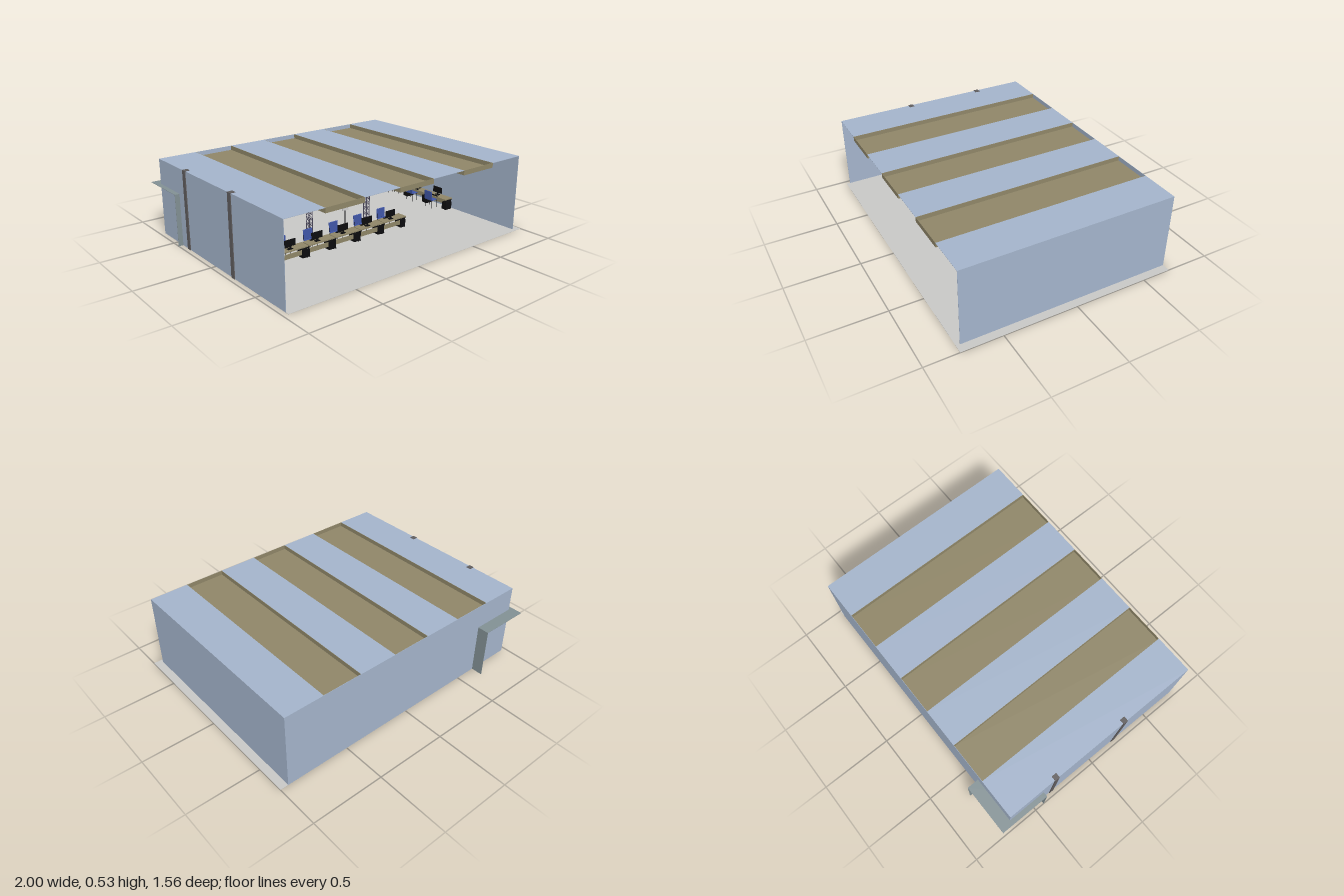
import * as THREE from 'three';
import { RoundedBoxGeometry } from 'three/addons/geometries/RoundedBoxGeometry.js';

const mat = (name, color, side = THREE.FrontSide) => {
  const m = new THREE.MeshStandardMaterial({ color, side });
  m.name = name;
  return m;
};

export function createModel() {
  const M = {
    wall: mat('wallBlue', 0xa4b4cb),
    floor: mat('floorGrey', 0xc8c8c6),
    wood: mat('woodTan', 0x8f8668),
    lobby: mat('lobbyGreyGreen', 0x829094),
    dark: mat('columnGrey', 0x605d5e),
    black: mat('black', 0x0c0c0e),
    blue: mat('chairBlue', 0x3f55a6),
    green: mat('screenGreen', 0x20d428, THREE.DoubleSide),
    truss: mat('trussGrey', 0x4f4c60),
    white: mat('lampGrey', 0xd0d0d0),
  };
  const model = new THREE.Group();
  const group = (name, parent = model) => {
    const g = new THREE.Group();
    g.name = name;
    parent.add(g);
    return g;
  };
  const add = (parent, name, geometry, material) => {
    const mesh = new THREE.Mesh(geometry, material);
    mesh.name = name;
    parent.add(mesh);
    return mesh;
  };
  // Box given by its limits
  const box = (parent, name, material, x0, x1, y0, y1, z0, z1) => {
    const mesh = add(parent, name, new THREE.BoxGeometry(x1 - x0, y1 - y0, z1 - z0), material);
    mesh.position.set((x0 + x1) / 2, (y0 + y1) / 2, (z0 + z1) / 2);
    return mesh;
  };
  // Thin rod between two points
  const rod = (parent, name, material, a, b, r) => {
    const dir = b.clone().sub(a);
    const mesh = add(parent, name, new THREE.CylinderGeometry(r, r, dir.length(), 6), material);
    mesh.position.copy(a).add(b).multiplyScalar(0.5);
    mesh.quaternion.setFromUnitVectors(new THREE.Vector3(0, 1, 0), dir.normalize());
  };
  const V = (x, y, z) => new THREE.Vector3(x, y, z);

  // Shell: floor and three walls, open at the front
  const T = 0.002, L = -0.967, R = 0.945, B = -0.7, F = 0.75, H = 0.53;
  const room = group('room');
  box(room, 'floor', M.floor, L, 1, 0.0005, T, B, 0.775);
  box(room, 'leftWall', M.wall, L, L + T, 0, H, B, F);
  box(room, 'rightWall', M.wall, R - T, R, 0, H, B, F);
  box(room, 'backWall', M.wall, L, R, 0, H, B, B + T);

  // Roof strips with sunken wooden troughs between them
  const troughs = [[-0.698, -0.42], [-0.149, 0.127], [0.398, 0.674]];
  let edge = L;
  for (const [x0, x1] of troughs) {
    box(room, 'roofStrip', M.wall, edge, x0, H - T, H, B, F);
    box(room, 'troughBase', M.wood, x0, x1, 0.498, 0.5, B + T, F);
    box(room, 'troughSide', M.wood, x0, x0 + T, 0.5, H, B + T, F);
    box(room, 'troughSide', M.wood, x1 - T, x1, 0.5, H, B + T, F);
    box(room, 'troughFront', M.wood, x0, x1, 0.498, H, F - T, F);
    edge = x1;
  }
  box(room, 'roofStrip', M.wall, edge, R, H - T, H, B, F);

  // Columns on the left wall
  for (const z of [-0.34, 0.212])
    box(room, 'column', M.dark, -0.972, -0.937, 0, 0.533, z - 0.0175, z + 0.0175);

  // Corner lobby passing through the walls
  const lobby = group('lobby');
  box(lobby, 'lobbyRoof', M.lobby, -1, -0.65, 0.353, 0.355, -0.78, -0.43);
  box(lobby, 'lobbySide', M.lobby, -0.652, -0.65, 0, 0.355, -0.78, -0.43);
  box(lobby, 'lobbyFront', M.lobby, -1, -0.65, 0, 0.355, -0.432, -0.43);
  box(lobby, 'door', M.dark, -0.9, -0.787, 0, 0.2, -0.43, -0.427);

  // Panel on the left wall
  box(room, 'wallPanel', M.blue, L + T, L + 0.008, 0.176, 0.235, 0.37, 0.56);

  // Workplace: sitter faces +z, computer at the +x end
  const workplace = (parent) => {
    const w = group('workplace', parent);
    box(w, 'deskTop', M.wood, -0.105, 0.1, 0.075, 0.083, -0.037, 0.037);
    box(w, 'deskPanel', M.wood, -0.095, 0.06, 0.024, 0.056, 0.018, 0.022);
    box(w, 'deskRail', M.black, -0.1, 0.1, 0.068, 0.075, 0.016, 0.022);
    for (const x of [-0.103, 0.092]) {
      box(w, 'deskFoot', M.black, x, x + 0.008, 0, 0.006, -0.033, 0.033);
      box(w, 'deskBar', M.black, x, x + 0.008, 0.068, 0.075, -0.035, 0.035);
      for (const z of [-0.028, 0.02]) box(w, 'deskLeg', M.black, x, x + 0.008, 0.004, 0.072, z, z + 0.008);
    }
    box(w, 'computer', M.black, 0.062, 0.105, 0, 0.057, -0.03, 0.028);
    // Monitor and keyboard
    box(w, 'monitor', M.black, -0.065, 0.02, 0.1, 0.145, 0.005, 0.01);
    box(w, 'monitorNeck', M.black, -0.027, -0.018, 0.084, 0.11, 0.01, 0.014);
    box(w, 'monitorFoot', M.black, -0.04, -0.005, 0.083, 0.086, -0.002, 0.022);
    box(w, 'keyboard', M.black, -0.055, 0.01, 0.083, 0.086, -0.03, -0.014);
    // Chair
    const chair = group('chair', w);
    const back = add(chair, 'chairBack', new RoundedBoxGeometry(0.074, 0.068, 0.006, 2, 0.003), M.blue);
    back.position.set(-0.022, 0.1, -0.092);
    back.rotation.x = -0.05;
    const seat = add(chair, 'chairSeat', new RoundedBoxGeometry(0.074, 0.007, 0.055, 2, 0.003), M.blue);
    seat.position.set(-0.022, 0.064, -0.062);
    for (const x of [-0.056, 0.012]) {
      for (const z of [-0.086, -0.038]) rod(chair, 'chairLeg', M.black, V(x, 0.002, z), V(x, 0.062, z), 0.0018);
      rod(chair, 'backPost', M.black, V(x, 0.06, -0.087), V(x, 0.1, -0.09), 0.0018);
    }
    return w;
  };
  const frontRow = group('frontRow');
  for (let i = 0; i < 5; i++) workplace(frontRow).position.set(-0.547 + i * 0.211, 0, 0.212);
  const sideRow = group('sideRow');
  for (let i = 0; i < 4; i++) workplace(sideRow).position.set(-0.537 + i * 0.207, 0, 0);
  sideRow.scale.x = -1;
  sideRow.rotation.y = Math.PI / 2;
  sideRow.position.x = 0.904;

  // Square lattice truss from a to b: four chords with crossed braces
  const lattice = (parent, a, b, u, v, n) => {
    const corner = (t, i) => a.clone().lerp(b, t)
      .addScaledVector(u, i === 1 || i === 2 ? 1 : -1).addScaledVector(v, i > 1 ? 1 : -1);
    for (let i = 0; i < 4; i++) {
      const j = (i + 1) % 4;
      rod(parent, 'chord', M.truss, corner(0, i), corner(1, i), 0.0026);
      for (let k = 0; k < n; k++) {
        const p = k / n, q = (k + 1) / n;
        rod(parent, 'brace', M.truss, corner(p, i), corner(q, j), 0.0013);
        rod(parent, 'brace', M.truss, corner(p, j), corner(q, i), 0.0013);
      }
    }
  };
  const stage = group('screenStand');
  const h = 0.0145, zs = -0.01;
  for (const x of [-0.248, 0.257])
    lattice(stage, V(x, 0.002, zs), V(x, 0.36, zs), V(h, 0, 0), V(0, 0, h), 9);
  lattice(stage, V(-0.263, 0.343, zs), V(0.272, 0.343, zs), V(0, h, 0), V(0, 0, h), 15);

  // Green cloth with horizontal folds and scalloped sides
  const cloth = new THREE.PlaneGeometry(0.55, 0.188, 24, 48);
  const p = cloth.attributes.position;
  for (let i = 0; i < p.count; i++) {
    const x = p.getX(i), y = p.getY(i);
    const wave = Math.sin((y / 0.188) * Math.PI * 10);
    p.setX(i, x * (1 + 0.016 * wave));
    p.setZ(i, 0.004 * wave);
    p.setY(i, y + 0.002 * Math.sin(x * 90));
  }
  cloth.computeVertexNormals();
  add(stage, 'greenCloth', cloth, M.green).position.set(0.003, 0.271, -0.034);

  // Lamp on a pole in front of the cloth
  const lamp = group('lamp');
  box(lamp, 'lampHead', M.white, -0.034, 0.012, 0.17, 0.212, 0.07, 0.084);
  rod(lamp, 'lampPole', M.black, V(-0.012, 0.05, 0.077), V(-0.012, 0.172, 0.077), 0.004);
  for (let i = 0; i < 3; i++) {
    const t = (i * Math.PI * 2) / 3;
    rod(lamp, 'lampLeg', M.black, V(-0.012, 0.06, 0.077),
      V(-0.012 + 0.03 * Math.sin(t), 0.003, 0.077 - 0.03 * Math.cos(t)), 0.0022);
  }
  return model;
}
